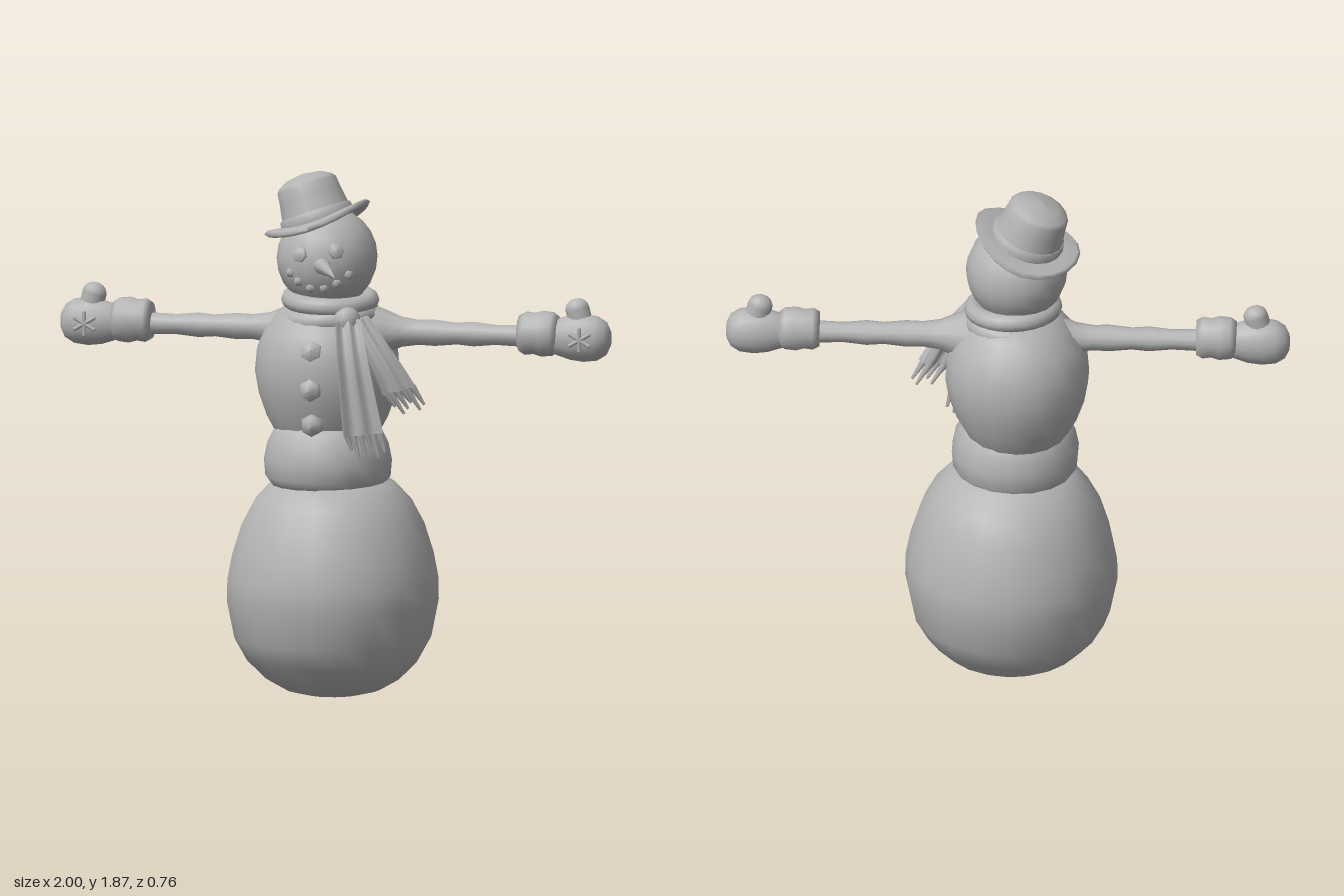
import * as THREE from 'three';

const snow = new THREE.MeshStandardMaterial({ color: 0xb3b3b3 });
snow.name = 'plain grey';

function add(parent, name, geometry, pos = [0, 0, 0], rot = [0, 0, 0], scale = [1, 1, 1]) {
  const m = new THREE.Mesh(geometry, snow);
  m.name = name;
  m.position.set(...pos);
  m.rotation.set(...rot);
  m.scale.set(...scale);
  parent.add(m);
  return m;
}

// Lathe from [radius, height] pairs, listed bottom to top
const lathe = (pts, sides = 18) =>
  new THREE.LatheGeometry(pts.map(([r, y]) => new THREE.Vector2(r, y)), sides);

// Tapered bar between two points
function spike(parent, name, a, b, r0, r1, sides = 8) {
  const A = new THREE.Vector3(...a), B = new THREE.Vector3(...b), d = B.clone().sub(A);
  const m = add(parent, name, new THREE.CylinderGeometry(r1, r0, d.length(), sides));
  m.position.copy(A).add(B).multiplyScalar(0.5);
  m.quaternion.setFromUnitVectors(new THREE.Vector3(0, 1, 0), d.normalize());
  return m;
}

// Lump of coal: a low hexagonal stud facing outward along dir
function coal(parent, name, pos, r, depth, dir) {
  const m = add(parent, name, lathe([[r * 0.9, -depth], [r, 0], [r * 0.85, depth * 0.5], [0, depth * 0.75]], 6), pos);
  m.quaternion.setFromUnitVectors(new THREE.Vector3(0, 1, 0), new THREE.Vector3(...dir).normalize());
  return m;
}

// Hanging scarf end: a pleated strip swept down a curve, finished with fringe
function scarfTail(parent, name, path, across, w0, w1) {
  const group = new THREE.Group();
  group.name = name;
  parent.add(group);
  const curve = new THREE.CatmullRomCurve3(path.map(p => new THREE.Vector3(...p)));
  const side = new THREE.Vector3(...across).normalize();
  const out = side.clone().cross(new THREE.Vector3(0, 1, 0)).normalize();
  const place = (u, t, d) => curve.getPoint(t)
    .addScaledVector(side, u * THREE.MathUtils.lerp(w0, w1, t))
    .addScaledVector(out, d * 0.03 + 0.009 * Math.cos(u * Math.PI * 4));
  const g = new THREE.BoxGeometry(1, 1, 1, 10, 8, 1);
  const p = g.attributes.position;
  for (let i = 0; i < p.count; i++) {
    const v = place(p.getX(i), 0.5 - p.getY(i), p.getZ(i));
    p.setXYZ(i, v.x, v.y, v.z);
  }
  g.computeVertexNormals();
  add(group, 'scarfCloth', g);
  const down = curve.getTangent(1);
  for (let i = 0; i < 6; i++) {
    const a = place(-0.42 + i * 0.168, 0.98, 0);
    const b = a.clone().addScaledVector(down, 0.06 + 0.018 * ((i * 2) % 3)).addScaledVector(side, 0.01);
    spike(group, 'fringe', a.toArray(), b.toArray(), 0.014, 0.005, 5);
  }
}

// Arm with mitten, pointing along +x
function arm(name, decoSide) {
  const g = new THREE.Group();
  g.name = name;
  const along = [0, 0, -Math.PI / 2];
  add(g, 'sleeve', lathe([[0.1, 0.12], [0.075, 0.19], [0.054, 0.24], [0.045, 0.3], [0.047, 0.36],
    [0.039, 0.44], [0.044, 0.5], [0.036, 0.58], [0.04, 0.7]], 12), [0, 1.31, 0], along);
  add(g, 'cuff', lathe([[0, 0.665], [0.062, 0.668], [0.074, 0.69], [0.07, 0.72], [0.078, 0.75],
    [0.074, 0.79], [0.06, 0.81], [0, 0.82]], 14), [0, 1.32, 0], along, [1.05, 1, 0.93]);
  add(g, 'mittenHand', lathe([[0.045, 0.76], [0.064, 0.8], [0.08, 0.85], [0.086, 0.9], [0.08, 0.95],
    [0.06, 0.982], [0.03, 0.997], [0, 1]], 16), [0, 1.31, 0], along, [1, 1, 0.82]);
  add(g, 'thumb', new THREE.CapsuleGeometry(0.04, 0.06, 5, 12), [0.885, 1.385, 0], [0, 0, 0.25], [1.1, 0.95, 0.95]);
  // Raised star on the front of the mitten
  for (let i = 0; i < 3; i++)
    add(g, 'mittenStar', new THREE.CapsuleGeometry(0.007, 0.08, 3, 6),
      [0.9, 1.31, decoSide * 0.068], [0, 0, i * Math.PI / 3]);
  return g;
}

export function createModel() {
  const model = new THREE.Group();
  model.name = 'snowman';

  // Stacked snow body
  add(model, 'lowerBall', lathe([[0, 0.005], [0.1, 0.008], [0.17, 0.025], [0.24, 0.065], [0.305, 0.13],
    [0.35, 0.21], [0.376, 0.34], [0.375, 0.42], [0.358, 0.51], [0.325, 0.615], [0.28, 0.7],
    [0.22, 0.765], [0.12, 0.81], [0, 0.82]], 20), [-0.012, 0, -0.003]);
  add(model, 'waistRoll', lathe([[0.16, 0.74], [0.2, 0.76], [0.222, 0.79], [0.227, 0.85], [0.215, 0.91],
    [0.19, 0.96], [0.15, 0.99]], 18), [-0.025, 0, 0.018]);
  add(model, 'torso', lathe([[0.16, 0.9], [0.188, 0.95], [0.215, 1.0], [0.243, 1.08], [0.257, 1.16],
    [0.25, 1.24], [0.225, 1.31], [0.18, 1.37], [0.12, 1.42], [0, 1.44]], 18), [-0.033, 0, -0.008]);
  add(model, 'head', new THREE.SphereGeometry(0.18, 18, 12), [-0.03, 1.57, 0.01]);

  // Hat: brim and tapered crown, tipped to one side
  const hat = new THREE.Group();
  hat.name = 'hat';
  hat.position.set(-0.063, 1.69, 0);
  hat.rotation.set(-0.1, 0, 0.34);
  model.add(hat);
  const brim = lathe([[0, -0.008], [0.12, -0.01], [0.185, -0.01], [0.197, 0.002], [0.185, 0.012], [0.125, 0.014]], 20);
  const bp = brim.attributes.position;
  for (let i = 0; i < bp.count; i++) {
    const x = bp.getX(i), z = bp.getZ(i);
    bp.setY(i, bp.getY(i) + 0.5 * (x * x - z * z));
  }
  brim.computeVertexNormals();
  add(hat, 'brim', brim);
  add(hat, 'hatBand', lathe([[0.13, -0.005], [0.134, 0.015], [0.13, 0.04], [0.122, 0.043]], 18));
  add(hat, 'crown', lathe([[0.13, 0], [0.124, 0.04], [0.114, 0.1], [0.11, 0.14], [0.1, 0.153],
    [0.065, 0.172], [0, 0.182]], 16));

  // Face
  const face = (name, x, y, r, depth) => {
    const dx = x + 0.03, dy = y - 1.57, dz = Math.sqrt(0.177 ** 2 - dx * dx - dy * dy);
    coal(model, name, [x, y, 0.01 + dz], r, depth, [dx, dy, dz]);
  };
  face('eye', -0.09, 1.6, 0.03, 0.02);
  face('eye', 0.04, 1.615, 0.03, 0.02);
  [[-0.13, 1.53], [-0.1, 1.5], [-0.055, 1.478], [-0.005, 1.478], [0.04, 1.497], [0.08, 1.527]]
    .forEach(([x, y]) => face('mouthStone', x, y, 0.018, 0.018));
  spike(model, 'carrotNose', [-0.022, 1.563, 0.15], [0.085, 1.552, 0.385], 0.033, 0.002, 10);

  // Coat buttons
  [[1.26, 0.222], [1.125, 0.242], [0.995, 0.213]].forEach(([y, z]) =>
    coal(model, 'button', [-0.037, y, z], 0.042, 0.04, [0, (y - 1.13) * 2, 1]));

  // Scarf wraps, knot and two hanging ends
  add(model, 'scarfWrap', new THREE.TorusGeometry(0.143, 0.037, 10, 24), [-0.02, 1.365, 0.012], [Math.PI / 2 + 0.05, 0.06, 0]);
  add(model, 'scarfWrap', new THREE.TorusGeometry(0.14, 0.034, 10, 24), [-0.018, 1.42, 0.012], [Math.PI / 2 + 0.08, -0.04, 0]);
  add(model, 'scarfKnot', new THREE.SphereGeometry(0.05, 12, 8), [0.075, 1.365, 0.15], [0, 0.5, 0], [1, 1, 0.8]);
  scarfTail(model, 'frontScarfEnd', [[0.08, 1.37, 0.165], [0.105, 1.25, 0.21], [0.13, 1.1, 0.222], [0.15, 0.97, 0.222]],
    [0.93, 0.08, -0.36], 0.085, 0.14);
  scarfTail(model, 'sideScarfEnd', [[0.11, 1.37, 0.13], [0.17, 1.28, 0.15], [0.22, 1.2, 0.15], [0.26, 1.12, 0.14]],
    [0.86, 0.2, -0.45], 0.075, 0.12);

  // Outstretched arms
  model.add(arm('leftArm', 1));
  const right = arm('rightArm', -1);
  right.rotation.y = Math.PI;
  model.add(right);

  return model;
}
